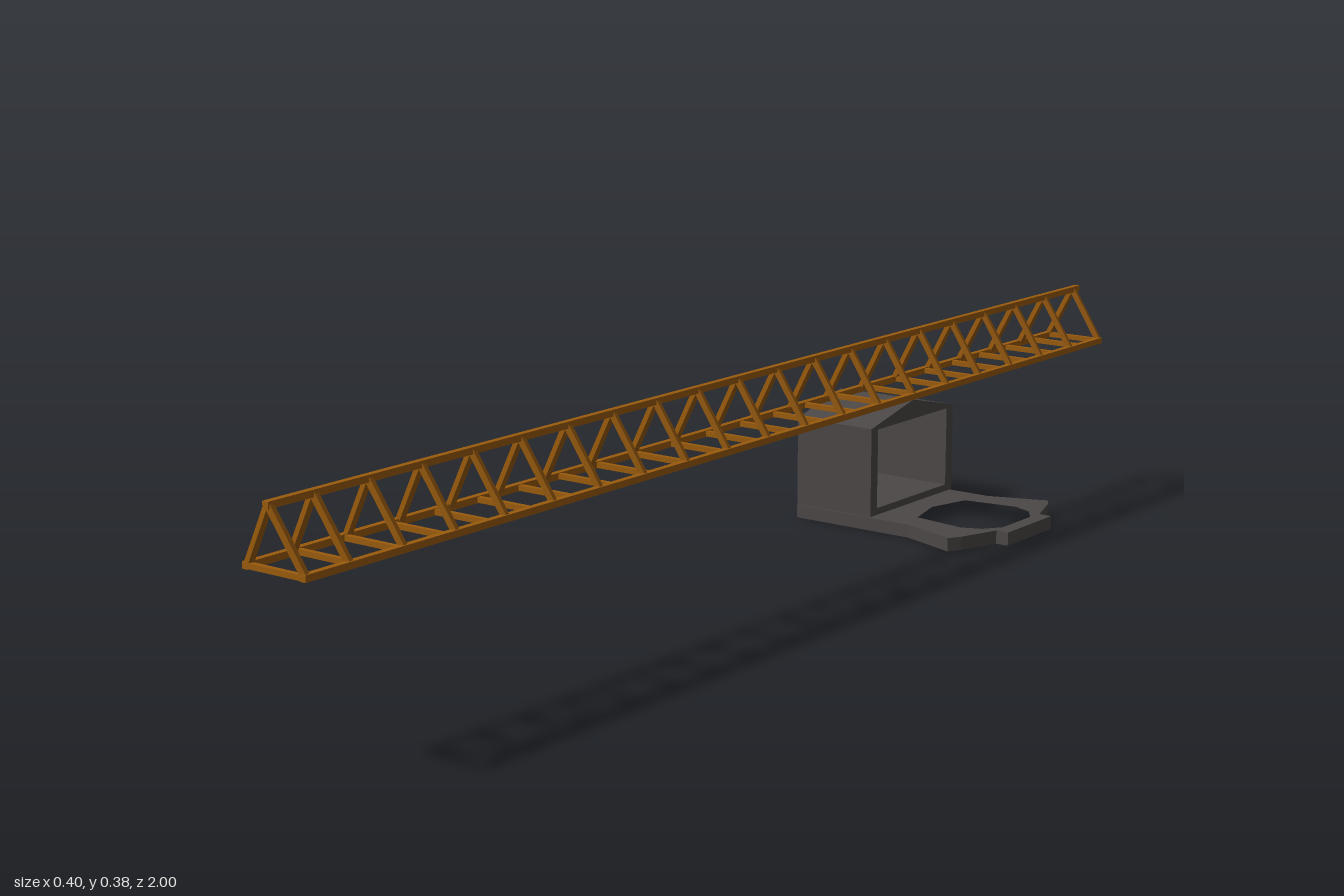
import * as THREE from 'three';

const wood = new THREE.MeshStandardMaterial({ color: 0x9a5b0c, flatShading: true });
const steel = new THREE.MeshStandardMaterial({ color: 0x4b4746, flatShading: true });
const black = new THREE.MeshStandardMaterial({ color: 0x050505, flatShading: true });

const toPoints = (list) => list.map(([x, y]) => new THREE.Vector2(x, y));

// Solid from an outline with one hole
function slab(outline, hole, depth) {
  const shape = new THREE.Shape(toPoints(outline));
  shape.holes.push(new THREE.Path(toPoints(hole)));
  return new THREE.ExtrudeGeometry(shape, { depth, bevelEnabled: false });
}

// Square bar between two points
function bar(name, a, b, size) {
  const mesh = new THREE.Mesh(new THREE.BoxGeometry(size, size, a.distanceTo(b)), wood);
  mesh.name = name;
  mesh.position.copy(a).lerp(b, 0.5);
  mesh.lookAt(b);
  return mesh;
}

// Mirror half of an outline, given from -x to +x on the positive side
const mirrored = (half, c) => [
  ...half.map(([x, d]) => [x, c + d]),
  ...half.filter(([, d]) => d > 0).reverse().map(([x, d]) => [x, c - d]),
];

function createJib() {
  const jib = new THREE.Group();
  jib.name = 'latticeJib';
  const left = (z) => new THREE.Vector3(0.144, 0.288, z);
  const right = (z) => new THREE.Vector3(0.042, 0.288, z);
  const top = (z) => new THREE.Vector3(0.095, 0.377, z);

  // Three long rails, the upper one reaching slightly further forward
  jib.add(bar('topRail', top(-1), top(1), 0.01));
  for (const corner of [left, right]) jib.add(bar('bottomRail', corner(-1), corner(0.988), 0.01));

  // Leaning side struts
  for (let i = 0; i <= 20; i++) {
    const z = Math.min(-0.984 + i * 0.1, 0.994);
    for (const corner of [left, right]) jib.add(bar('sideStrut', corner(z - 0.012), top(z), 0.009));
  }

  // Bottom cross bars, with one closing the back end
  jib.add(bar('endCrossBar', right(-0.995), left(-0.995), 0.008));
  for (let i = 0; i < 23; i++) {
    const z = -0.93 + i * 0.087;
    jib.add(bar('crossBar', right(z), left(z), 0.008));
  }
  return jib;
}

function createCabin() {
  const cabin = new THREE.Group();
  cabin.name = 'cabin';

  // Floor plate with forked collar
  const plate = slab(
    mirrored([[-0.197, 0.128], [0.035, 0.128], [0.137, 0.164], [0.15, 0.142], [0.175, 0.071], [0.198, 0.071]], 0.684),
    mirrored([[0, 0], [0.02, 0.076], [0.115, 0.09], [0.15, 0.076], [0.172, 0.045]], 0.684),
    0.023,
  );
  plate.rotateX(-Math.PI / 2);
  const collar = new THREE.Mesh(plate, steel);
  collar.name = 'collarPlate';

  // Gabled shell, open at both ends
  const c = 0.688, w = 0.129, o = 0.109;
  const shell = slab(
    [[c - w, 0.002], [c + w, 0.002], [c + w, 0.178], [c, 0.208], [c - w, 0.178]],
    [[c - o, 0.035], [c + o, 0.035], [c + o, 0.174], [c - o, 0.174]],
    0.154,
  );
  shell.rotateY(Math.PI / 2);
  const house = new THREE.Mesh(shell, steel);
  house.name = 'cabinShell';
  house.position.x = -0.199;

  // Dark upright panel in the outer opening
  const panel = new THREE.Mesh(new THREE.BoxGeometry(0.01, 0.141, 0.059), black);
  panel.name = 'uprightPanel';
  panel.position.set(-0.19, 0.1045, -0.687);

  cabin.add(collar, house, panel);
  return cabin;
}

export function createModel() {
  const model = new THREE.Group();
  model.name = 'craneJibAndCabin';
  model.add(createJib(), createCabin());
  return model;
}
